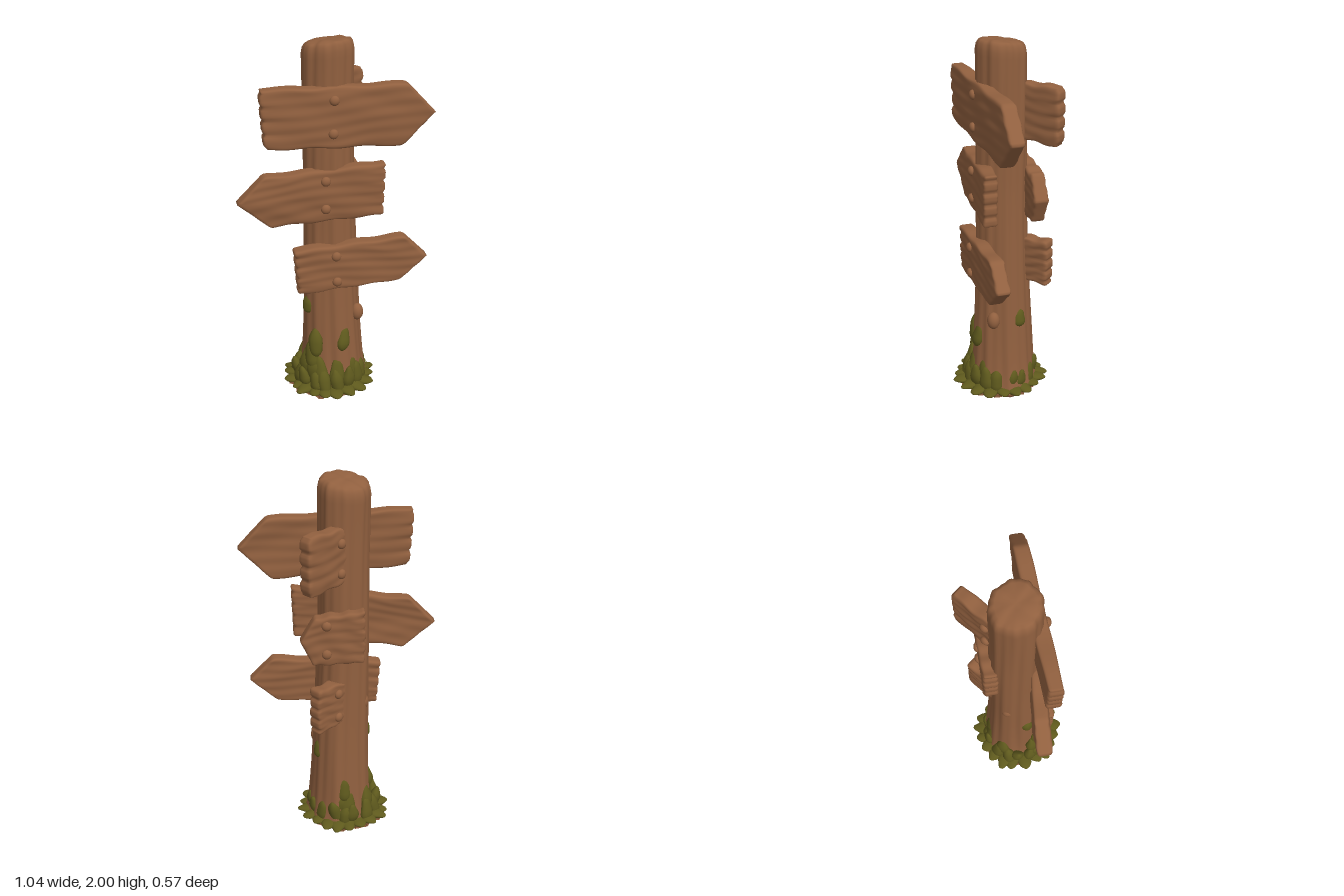
import * as THREE from 'three';
import { mergeVertices } from 'three/addons/utils/BufferGeometryUtils.js';

const wood = new THREE.MeshStandardMaterial({ color: 0x91603f });
wood.name = 'wood';
const moss = new THREE.MeshStandardMaterial({ color: 0x5f5a1d });
moss.name = 'moss';

const lerp = THREE.MathUtils.lerp;

// Moves every vertex by a rule, then welds and smooths the surface
function reshape(geometry, rule) {
  geometry.deleteAttribute('uv');
  geometry.deleteAttribute('normal');
  const g = mergeVertices(geometry, 1e-5);
  const p = g.attributes.position, v = new THREE.Vector3();
  for (let i = 0; i < p.count; i++) {
    rule(v.fromBufferAttribute(p, i));
    p.setXYZ(i, v.x, v.y, v.z);
  }
  g.computeVertexNormals();
  return g;
}

function add(parent, name, geometry, material) {
  const mesh = new THREE.Mesh(geometry, material);
  mesh.name = name;
  parent.add(mesh);
  return mesh;
}

// Grooved trunk with a flared foot and a slanting, rounded top
function postGeometry() {
  const side = new THREE.SplineCurve([
    [0.19, 0], [0.172, 0.12], [0.158, 0.35], [0.146, 0.65], [0.137, 1], [0.133, 1.4], [0.131, 1.7], [0.131, 1.93],
  ].map(([r, y]) => new THREE.Vector2(r, y))).getPoints(36);
  const top = [[0.126, 1.96], [0.115, 1.977], [0.098, 1.985], [0.06, 1.988], [0.03, 1.987], [0, 1.986]]
    .map(([r, y]) => new THREE.Vector2(r, y));
  const profile = [new THREE.Vector2(0, 0), ...side, ...top];
  return reshape(new THREE.LatheGeometry(profile, 72), (v) => {
    const a = Math.atan2(v.x, v.z), y = v.y;
    const groove = 0.022 * Math.sin(5 * a + 0.8 * y) + 0.02 * Math.sin(9 * a + 1.5 * Math.sin(2 * y))
      + 0.018 * Math.sin(17 * a + 2 * Math.sin(1.3 * y + 1)) + 0.012 * Math.sin(6 * y + 2 * a);
    const k = 1 + groove * (y > 1.98 ? 0.6 : 1);
    const lift = THREE.MathUtils.smoothstep(y, 1.7, 1.97);
    v.x *= k;
    v.z *= k;
    v.y += lift * (0.08 * v.x + 0.13 * v.z - 0.006 + 0.004 * Math.sin(60 * v.x) * Math.cos(50 * v.z));
    v.x -= 0.025 * Math.min(1, y / 1.2);
  });
}

// Three-point end of a board, sampled from bottom (0) to top (1)
function endAt(points, t) {
  const i = t < 0.5 ? 0 : 1, k = t * 2 - i;
  return [lerp(points[i][0], points[i + 1][0], k), lerp(points[i][1], points[i + 1][1], k)];
}

// Rounded plank stretched between two ends; worn adds notches to a blunt end
function boardGeometry({ left, right, z, worn, seed }) {
  const L = Math.abs(right[1][0] - left[1][0]), H = 0.31, T = 0.078, r = 0.016;
  const half = new THREE.Vector3(L / 2, H / 2, T / 2);
  const inner = half.clone().subScalar(r);
  const q = new THREE.Vector3();
  const box = new THREE.BoxGeometry(L, H, T, Math.ceil(L / 0.013), 28, 8);
  return reshape(box, (v) => {
    q.copy(v).clamp(inner.clone().negate(), inner);
    v.sub(q);
    if (v.lengthSq() > 0) v.setLength(r);
    v.add(q);
    const s = v.x / L + 0.5, t = v.y / H + 0.5;
    const a = endAt(left, t), b = endAt(right, t);
    const near = Math.exp(-(worn < 0 ? s : 1 - s) * L / 0.09);
    const notch = Math.pow(0.5 + 0.5 * Math.sin(t * 27 + seed), 5);
    const grain = 0.0016 * Math.sin(t * 31 + 3 * Math.sin(s * 4 + seed)) + 0.0018 * Math.sin(s * 13 + t * 9 + seed);
    const edge = Math.abs(t - 0.5) * 2;
    const x = lerp(a[0], b[0], s) - worn * near * notch * 0.011;
    const y = lerp(a[1], b[1], s) + edge * 0.004 * Math.sin(s * 17 + seed * 2 + t * 3);
    const zz = v.z * (1 - 0.14 * near * notch) + grain * Math.sign(v.z);
    v.set(x, y, zz + lerp(z[0], z[1], s));
  });
}

function addSign(parent, name, spec) {
  const sign = new THREE.Group();
  sign.name = name;
  sign.rotation.y = spec.turn || 0;
  sign.position.x = spec.x || 0;
  add(sign, 'board', boardGeometry(spec), wood);
  for (const [x, y] of spec.nails) {
    const s = (x - spec.left[1][0]) / (spec.right[1][0] - spec.left[1][0]);
    const nail = add(sign, 'nail', new THREE.SphereGeometry(0.026, 16, 12), wood);
    nail.scale.z = 0.7;
    nail.position.set(x, y, lerp(spec.z[0], spec.z[1], s) + 0.041);
  }
  parent.add(sign);
}

// Teardrop tuft, pointed towards its local top
function tuftGeometry(seed) {
  return reshape(new THREE.SphereGeometry(1, 14, 10), (v) => {
    const k = 1 - 0.22 * v.y + 0.07 * Math.sin(5 * v.y + seed) + 0.06 * Math.sin(4 * v.x + 3 * v.z + seed);
    v.x *= k;
    v.z *= k;
  });
}

export function createModel() {
  const model = new THREE.Group();
  model.name = 'signpost';
  add(model, 'post', postGeometry(), wood);

  // Ragged foot under the moss
  const foot = reshape(new THREE.CylinderGeometry(0.19, 0.215, 0.02, 60), (v) => {
    const a = Math.atan2(v.x, v.z), k = 1 + 0.06 * Math.sin(11 * a) + 0.05 * Math.sin(17 * a + 1);
    v.set(v.x * k - 0.03, v.y + 0.01, v.z * k + 0.01);
  });
  add(model, 'foot', foot, wood);

  // Knots in the trunk
  for (const [x, y, z] of [[0.12, 0.46, 0.09], [-0.12, 0.75, -0.06]]) {
    const knot = add(model, 'knot', new THREE.SphereGeometry(0.035, 16, 12), wood);
    knot.position.set(x, y, z);
    knot.scale.y = 1.4;
  }

  // Front signs: ends listed bottom, middle, top
  addSign(model, 'topFrontSign', {
    left: [[-0.38, 1.47], [-0.392, 1.625], [-0.4, 1.78]], right: [[0.35, 1.43], [0.52, 1.6], [0.37, 1.76]],
    z: [0.132, 0.085], worn: -1, seed: 1, nails: [[-0.02, 1.705], [-0.025, 1.53]],
  });
  addSign(model, 'middleFrontSign', {
    left: [[-0.35, 1.02], [-0.52, 1.16], [-0.38, 1.3]], right: [[0.24, 1.07], [0.245, 1.215], [0.25, 1.36]],
    z: [0.075, 0.138], worn: 1, seed: 2.4, nails: [[-0.065, 1.275], [-0.065, 1.12]],
  });
  addSign(model, 'bottomFrontSign', {
    left: [[-0.22, 0.64], [-0.23, 0.77], [-0.24, 0.9]], right: [[0.34, 0.68], [0.485, 0.81], [0.36, 0.935]],
    z: [0.14, 0.143], worn: -1, seed: 4, nails: [[-0.015, 0.855], [-0.01, 0.705]],
  });

  // Back signs, turned to face away
  const diagonal = Math.atan2(-0.64, -0.77);
  addSign(model, 'topBackSign', {
    left: [[-0.325, 1.45], [-0.33, 1.61], [-0.325, 1.77]], right: [[0.02, 1.48], [0.02, 1.62], [0.02, 1.76]],
    z: [0.06, 0.06], worn: -1, seed: 0.5, turn: diagonal, x: -0.02, nails: [[-0.11, 1.69], [-0.11, 1.53]],
  });
  addSign(model, 'middleBackSign', {
    left: [[-0.15, 1.03], [-0.215, 1.17], [-0.14, 1.3]], right: [[0.12, 1.04], [0.125, 1.19], [0.12, 1.33]],
    z: [0.148, 0.142], worn: 1, seed: 3, turn: Math.PI, nails: [[-0.08, 1.26], [-0.08, 1.1]],
  });
  addSign(model, 'bottomBackSign', {
    left: [[-0.27, 0.65], [-0.275, 0.78], [-0.27, 0.91]], right: [[0.02, 0.67], [0.02, 0.79], [0.02, 0.9]],
    z: [0.06, 0.06], worn: -1, seed: 5, turn: diagonal, x: -0.02, nails: [[-0.13, 0.85], [-0.13, 0.71]],
  });

  // Moss: tufts placed round the trunk by angle (0 = front), distance and height
  const mossGroup = new THREE.Group();
  mossGroup.name = 'moss';
  model.add(mossGroup);
  let state = 7;
  const rand = () => (state = (state * 16807) % 2147483647) / 2147483647;
  const tufts = Array.from({ length: 4 }, (_, i) => tuftGeometry(i * 1.7));
  let count = 0;
  function addTuft(angle, dist, y, size, tilt, roll = 0) {
    const tuft = add(mossGroup, 'tuft', tufts[count++ % 4], moss);
    tuft.rotation.set(tilt, angle, roll, 'YXZ');
    tuft.scale.set(...size);
    tuft.position.set(-0.025 + Math.sin(angle) * dist, y, 0.01 + Math.cos(angle) * dist);
  }
  // Low skirt lying outwards, then an upright row behind it
  for (let i = 0; i < 20; i++) {
    const a = (i + rand() * 0.5) / 20 * Math.PI * 2;
    addTuft(a, 0.185 + 0.03 * rand(), 0.028, [0.042, 0.062, 0.02], 1.5 + 0.15 * rand());
  }
  for (let i = 0; i < 17; i++) {
    const a = (i + rand() * 0.6) / 17 * Math.PI * 2;
    addTuft(a, 0.18, 0.075 + 0.015 * rand(), [0.038, 0.062 + 0.02 * rand(), 0.03], -0.2 + 0.5 * rand(), 0.4 * (rand() - 0.5));
  }
  // Climbing clumps: angle, height
  for (const [a, y] of [[-0.75, 0.16], [-0.5, 0.14], [-0.85, 0.23], [-0.7, 0.31], [-1.1, 0.17], [0.1, 0.13],
    [0.75, 0.13], [1.5, 0.14], [2.9, 0.16], [3.2, 0.15], [3.05, 0.24], [2.6, 0.14], [-2.3, 0.14]]) {
    addTuft(a, 0.165 - 0.05 * y, y, [0.042, 0.085, 0.03], -0.1, 0.25 * (rand() - 0.5));
  }
  // Single patches higher up
  addTuft(0.38, 0.152, 0.33, [0.036, 0.072, 0.026], -0.1, -0.2);
  addTuft(2.02, 0.158, 0.46, [0.038, 0.058, 0.026], -0.1);
  addTuft(-1.25, 0.128, 0.52, [0.038, 0.055, 0.026], -0.1);
  return model;
}
